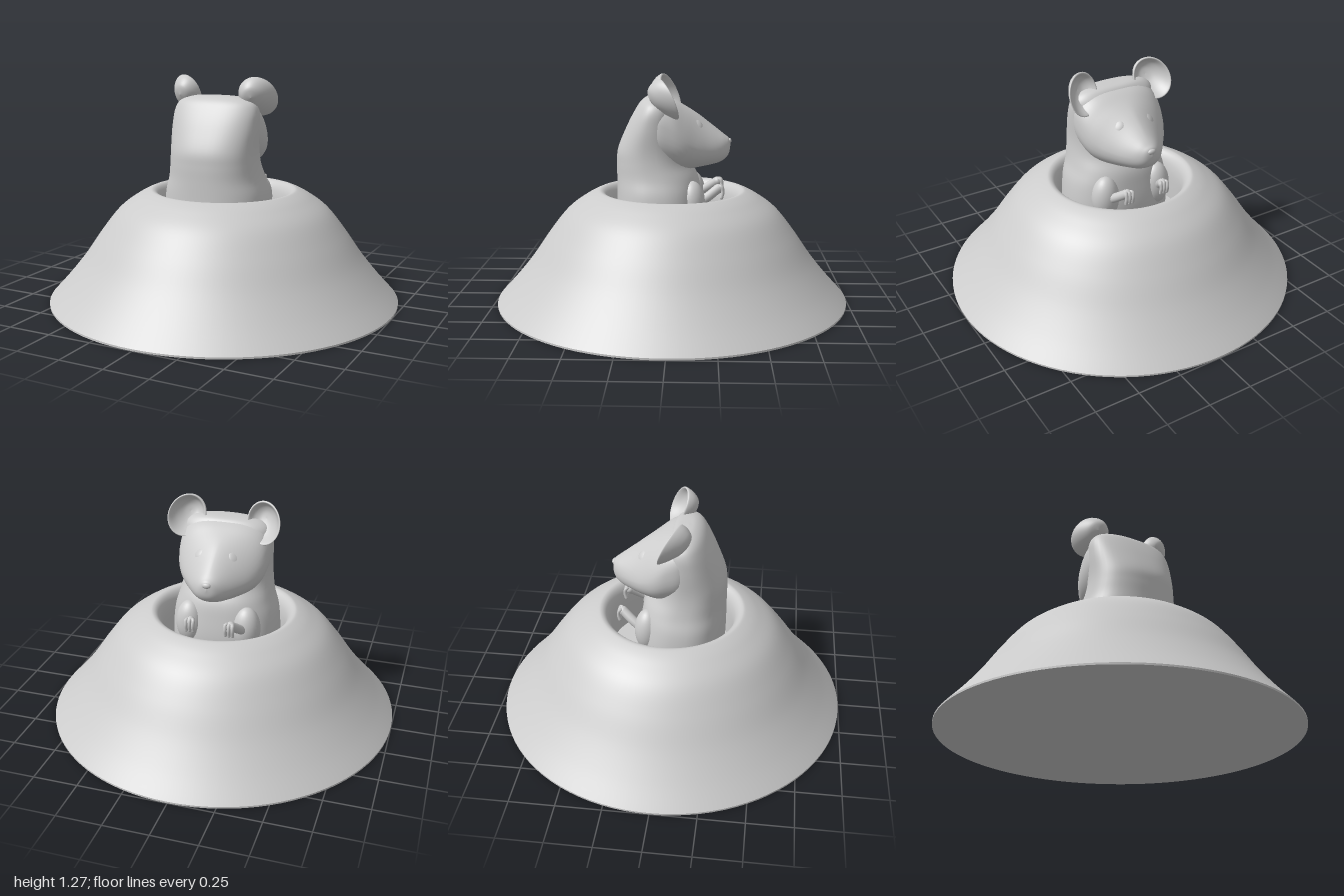
import * as THREE from 'three';

const material = new THREE.MeshStandardMaterial({ color: 0xcccccc, side: THREE.DoubleSide });

function add(parent, name, geometry) {
  const mesh = new THREE.Mesh(geometry, material);
  mesh.name = name;
  parent.add(mesh);
  return mesh;
}

// Smoothly interpolate a table of cross-sections, column by column
function refine(rows, steps) {
  const out = [];
  const n = rows.length - 1;
  for (let i = 0; i <= n * steps; i++) {
    const k = Math.min(Math.floor(i / steps), n - 1);
    const t = i / steps - k;
    out.push(rows[k].map((b, c) => {
      const d = rows[k + 1][c];
      const m0 = k > 0 ? (d - rows[k - 1][c]) / 2 : d - b;
      const m1 = k + 2 <= n ? (rows[k + 2][c] - b) / 2 : d - b;
      const t2 = t * t, t3 = t2 * t;
      return (2 * t3 - 3 * t2 + 1) * b + (t3 - 2 * t2 + t) * m0 + (3 * t2 - 2 * t3) * d + (t3 - t2) * m1;
    }));
  }
  return out;
}

// Skin closed rings; point(row, cos, sin) returns [x, y, z]
function loft(rows, point, sides = 48) {
  const pos = [], index = [];
  rows.forEach((row, r) => {
    for (let s = 0; s < sides; s++) {
      const a = (s / sides) * Math.PI * 2;
      pos.push(...point(row, Math.cos(a), Math.sin(a)));
      if (r === 0) continue;
      const a0 = (r - 1) * sides + s, a1 = (r - 1) * sides + (s + 1) % sides;
      index.push(a0, a0 + sides, a1, a1, a0 + sides, a1 + sides);
    }
  });
  const g = new THREE.BufferGeometry();
  g.setAttribute('position', new THREE.Float32BufferAttribute(pos, 3));
  g.setIndex(index);
  g.computeVertexNormals();
  return g;
}

const power = (v, n) => Math.sign(v) * Math.pow(Math.abs(v), 2 / n);

function createMound() {
  const mound = new THREE.Group();
  mound.name = 'mound';
  const slope = new THREE.SplineCurve([
    [1, 0.01], [0.9, 0.12], [0.8, 0.245], [0.7, 0.39], [0.6, 0.515], [0.5, 0.59], [0.43, 0.626],
    [0.4, 0.63], [0.375, 0.61], [0.358, 0.57], [0.35, 0.5], [0.35, 0.35],
  ].map(p => new THREE.Vector2(...p))).getPoints(66);
  add(mound, 'moundSlope', new THREE.LatheGeometry(slope, 96));
  add(mound, 'moundEdge', new THREE.CylinderGeometry(1, 1, 0.01, 96, 1, true)).position.y = 0.005;
  const floor = add(mound, 'burrowFloor', new THREE.CircleGeometry(0.352, 64));
  floor.rotation.x = -Math.PI / 2;
  floor.position.y = 0.36;
  add(mound, 'moundBase', new THREE.CircleGeometry(1, 96)).rotation.x = Math.PI / 2;
  return mound;
}

function createBody() {
  // y, half width, back z, front z
  const rows = refine([
    [0.355, 0.31, 0.3, -0.17], [0.5, 0.31, 0.31, -0.18], [0.63, 0.297, 0.31, -0.165],
    [0.72, 0.27, 0.31, -0.145], [0.8, 0.255, 0.31, -0.1], [0.88, 0.25, 0.302, -0.08],
    [1.0, 0.255, 0.252, -0.05], [1.09, 0.25, 0.205, -0.03], [1.14, 0.215, 0.17, 0],
    [1.165, 0.13, 0.13, 0.03], [1.17, 0, 0.09, 0.09],
  ], 5);
  return loft(rows, ([y, w, back, front], c, s) =>
    [w * power(c, 2.3), y, (back + front) / 2 + (back - front) / 2 * power(s, 2.3)]);
}

function createHead() {
  // z, top y, widest y, bottom y, half width, squareness of the upper half
  const rows = refine([
    [0.17, 1.0, 1.0, 1.0, 0, 2.8], [0.14, 1.14, 1.0, 0.86, 0.2, 2.8], [0.08, 1.165, 0.99, 0.78, 0.25, 2.9],
    [0, 1.147, 0.96, 0.75, 0.255, 2.6], [-0.07, 1.112, 0.92, 0.752, 0.24, 2.0],
    [-0.14, 1.07, 0.89, 0.765, 0.2, 1.65], [-0.2, 1.025, 0.875, 0.776, 0.155, 1.6],
    [-0.26, 0.978, 0.87, 0.79, 0.108, 1.7], [-0.3, 0.946, 0.87, 0.812, 0.07, 2],
    [-0.322, 0.928, 0.88, 0.843, 0.038, 2], [-0.33, 0.895, 0.89, 0.885, 0, 2],
  ], 5);
  return loft(rows, ([z, top, mid, bottom, w, n], c, s) => {
    const k = s >= 0 ? n : 2.2;
    return [w * power(c, k), mid + (s >= 0 ? top - mid : mid - bottom) * power(s, k), z];
  });
}

// Cupped ear, open towards the face, leaning back at the top and forward at the outer rim
function createEar(side) {
  const profile = new THREE.SplineCurve([
    [0, 0.1], [0.045, 0.085], [0.08, 0.045], [0.1, 0.006], [0.098, -0.004],
    [0.09, 0.002], [0.068, 0.038], [0.035, 0.065], [0, 0.072],
  ].map(p => new THREE.Vector2(...p))).getPoints(32);
  const g = new THREE.LatheGeometry(profile, 40);
  g.rotateX(Math.PI / 2);
  const p = g.attributes.position;
  for (let i = 0; i < p.count; i++) {
    const x = p.getX(i), y = p.getY(i) * 1.08, z = p.getZ(i);
    p.setXYZ(i, side * 0.218 + x, 1.165 + y, 0.015 + z + 0.42 * y - side * 0.35 * x);
  }
  g.computeVertexNormals();
  return g;
}

function createAnimal() {
  const animal = new THREE.Group();
  animal.name = 'animal';
  add(animal, 'body', createBody());
  add(animal, 'head', createHead());

  // Nose
  const nose = add(animal, 'nose', new THREE.SphereGeometry(0.02, 20, 14));
  nose.scale.set(1.2, 0.8, 0.7);
  nose.position.set(0, 0.912, -0.322);

  for (const side of [1, -1]) {
    const label = side > 0 ? 'left' : 'right';
    add(animal, label + 'Ear', createEar(side));

    // Eye: flattened ball facing out of the cheek
    const eye = add(animal, label + 'Eye', new THREE.SphereGeometry(0.043, 28, 18));
    eye.scale.z = 0.4;
    eye.position.set(side * 0.1, 1.012, -0.135);
    eye.lookAt(side * 0.7, 1.662, -0.585);

    // Shoulder and forearm, with fingers drooping from the wrist
    const shoulder = add(animal, label + 'Shoulder', new THREE.SphereGeometry(0.1, 28, 20));
    shoulder.scale.set(0.8, 1.3, 0.75);
    shoulder.position.set(side * 0.165, 0.58, -0.115);
    const path = (...points) => new THREE.CatmullRomCurve3(
      points.map(([x, y, z]) => new THREE.Vector3(side * x, y, z)));
    add(animal, label + 'Forearm', new THREE.TubeGeometry(
      path([0.17, 0.57, -0.13], [0.145, 0.615, -0.2], [0.115, 0.66, -0.262]), 16, 0.026, 14));
    const wrist = add(animal, label + 'Wrist', new THREE.SphereGeometry(0.027, 18, 12));
    wrist.position.set(side * 0.115, 0.658, -0.262);
    for (const offset of [-0.02, 0, 0.02]) {
      const x = 0.112 + offset;
      add(animal, label + 'Finger', new THREE.TubeGeometry(
        path([0.114, 0.665, -0.255], [x, 0.672, -0.278], [x, 0.645, -0.287], [x, 0.61, -0.28]), 14, 0.01, 10));
      const tip = add(animal, label + 'Fingertip', new THREE.SphereGeometry(0.01, 10, 8));
      tip.position.set(side * x, 0.61, -0.28);
    }
  }
  return animal;
}

export function createModel() {
  const model = new THREE.Group();
  model.name = 'animalInBurrow';
  model.add(createMound(), createAnimal());
  return model;
}
